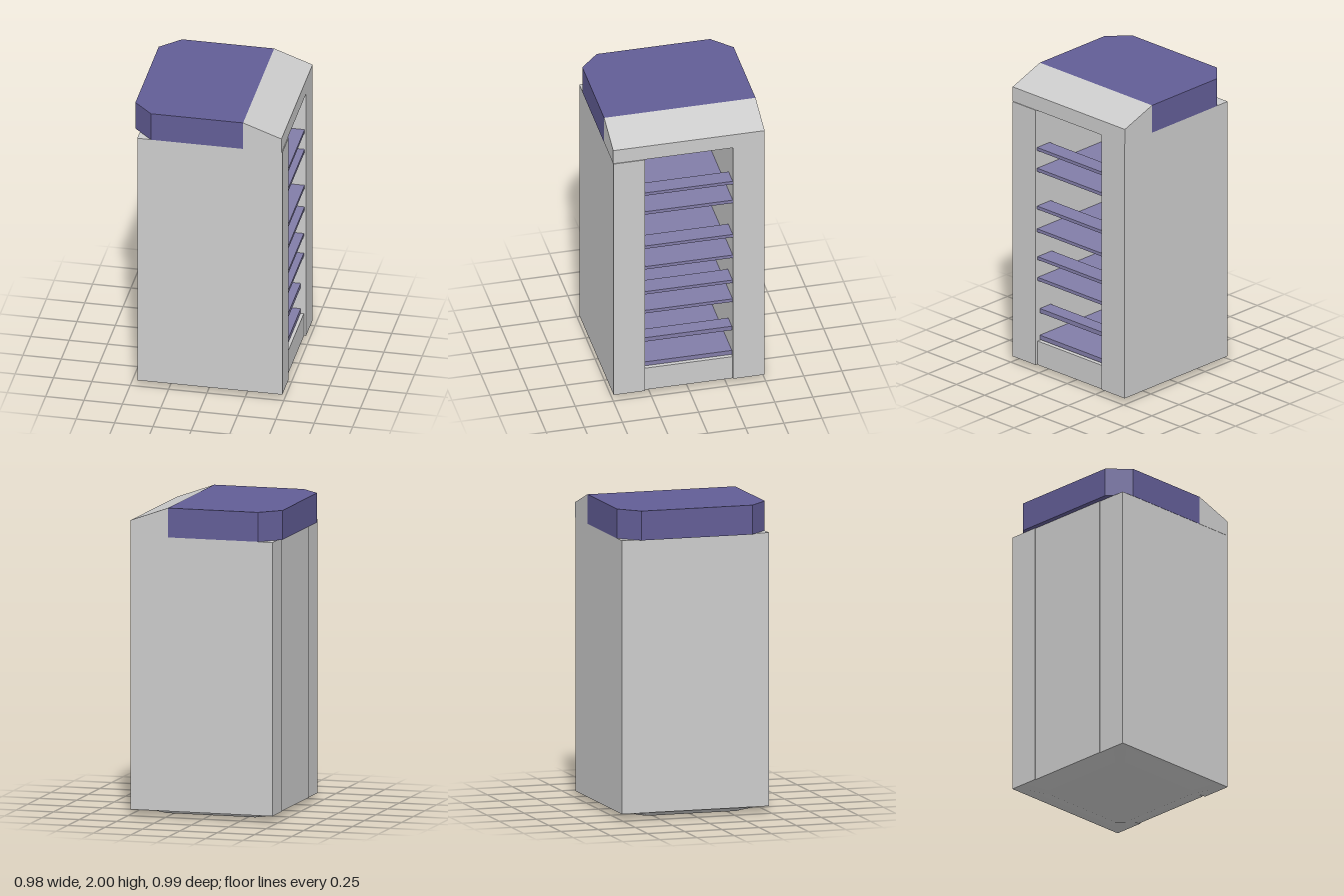
import * as THREE from 'three';

const grey = new THREE.MeshStandardMaterial({ color: 0xcccccc, flatShading: true });
const purple = new THREE.MeshStandardMaterial({ color: 0x625d96, flatShading: true });
const lilac = new THREE.MeshStandardMaterial({ color: 0x827da8, flatShading: true });

// Box given by its limits on each axis
function box(name, [x0, x1], [y0, y1], [z0, z1], material = grey) {
  const mesh = new THREE.Mesh(new THREE.BoxGeometry(x1 - x0, y1 - y0, z1 - z0), material);
  mesh.position.set((x0 + x1) / 2, (y0 + y1) / 2, (z0 + z1) / 2);
  mesh.name = name;
  return mesh;
}

function extrude(points, depth) {
  const shape = new THREE.Shape(points.map(([a, b]) => new THREE.Vector2(a, b)));
  return new THREE.ExtrudeGeometry(shape, { depth, bevelEnabled: false });
}

// Shallow plinth tapering towards the floor, with clipped corners
function plinthGeometry() {
  const outline = (h, c) => [[h, c - h], [h, h - c], [h - c, h], [c - h, h],
    [-h, h - c], [-h, c - h], [c - h, -h], [h - c, -h]];
  const geometry = extrude(outline(0.45, 0.06), 0.04).rotateX(-Math.PI / 2);
  const p = geometry.attributes.position;
  for (let i = 0; i < p.count; i++) {
    const k = p.getY(i) < 0.02 ? 0.76 : 1;
    p.setXYZ(i, p.getX(i) * k, p.getY(i), p.getZ(i) * k + 0.015);
  }
  geometry.computeVertexNormals();
  return geometry;
}

export function createModel() {
  const model = new THREE.Group();

  // Cabinet walls
  model.add(
    box('frontWall', [-0.455, 0.49], [0.04, 1.81], [0.29, 0.495]),
    box('rearWall', [-0.463, 0.485], [0.04, 1.81], [-0.495, -0.29]),
    box('backPanel', [-0.458, -0.4], [0.04, 1.81], [-0.29, 0.29]),
    box('sill', [-0.4, 0.47], [0.035, 0.2], [-0.29, 0.29]),
  );

  // Shelves: [bottom, top, inner edge, outer edge], narrow over deep
  const shelves = [
    [1.525, 1.547, 0.36, 0.475], [1.38, 1.403, -0.4, 0.475],
    [1.118, 1.14, 0.35, 0.475], [0.96, 0.982, -0.4, 0.475],
    [0.765, 0.787, 0.34, 0.47], [0.62, 0.643, -0.4, 0.47],
    [0.39, 0.42, 0.35, 0.45], [0.205, 0.235, -0.4, 0.45],
  ];
  const rack = new THREE.Group();
  rack.name = 'shelves';
  shelves.forEach(([y0, y1, x0, x1], i) =>
    rack.add(box(`shelf${i + 1}`, [x0, x1], [y0, y1], [-0.29, 0.29], lilac)));
  model.add(rack);

  // Roof block with clipped back corners
  const roof = new THREE.Mesh(extrude([[0.235, -0.497], [0.235, 0.497], [-0.365, 0.497],
    [-0.492, 0.372], [-0.492, -0.372], [-0.365, -0.497]], 0.19).rotateX(-Math.PI / 2), purple);
  roof.position.y = 1.81;
  roof.name = 'roof';

  // Sloping eave over the opening
  const eave = new THREE.Mesh(
    extrude([[0.235, 1.81], [0.485, 1.81], [0.485, 1.91], [0.235, 2]], 0.994), grey);
  eave.position.z = -0.497;
  eave.name = 'eave';

  const plinth = new THREE.Mesh(plinthGeometry(), grey);
  plinth.name = 'plinth';
  model.add(roof, eave, plinth);
  return model;
}
